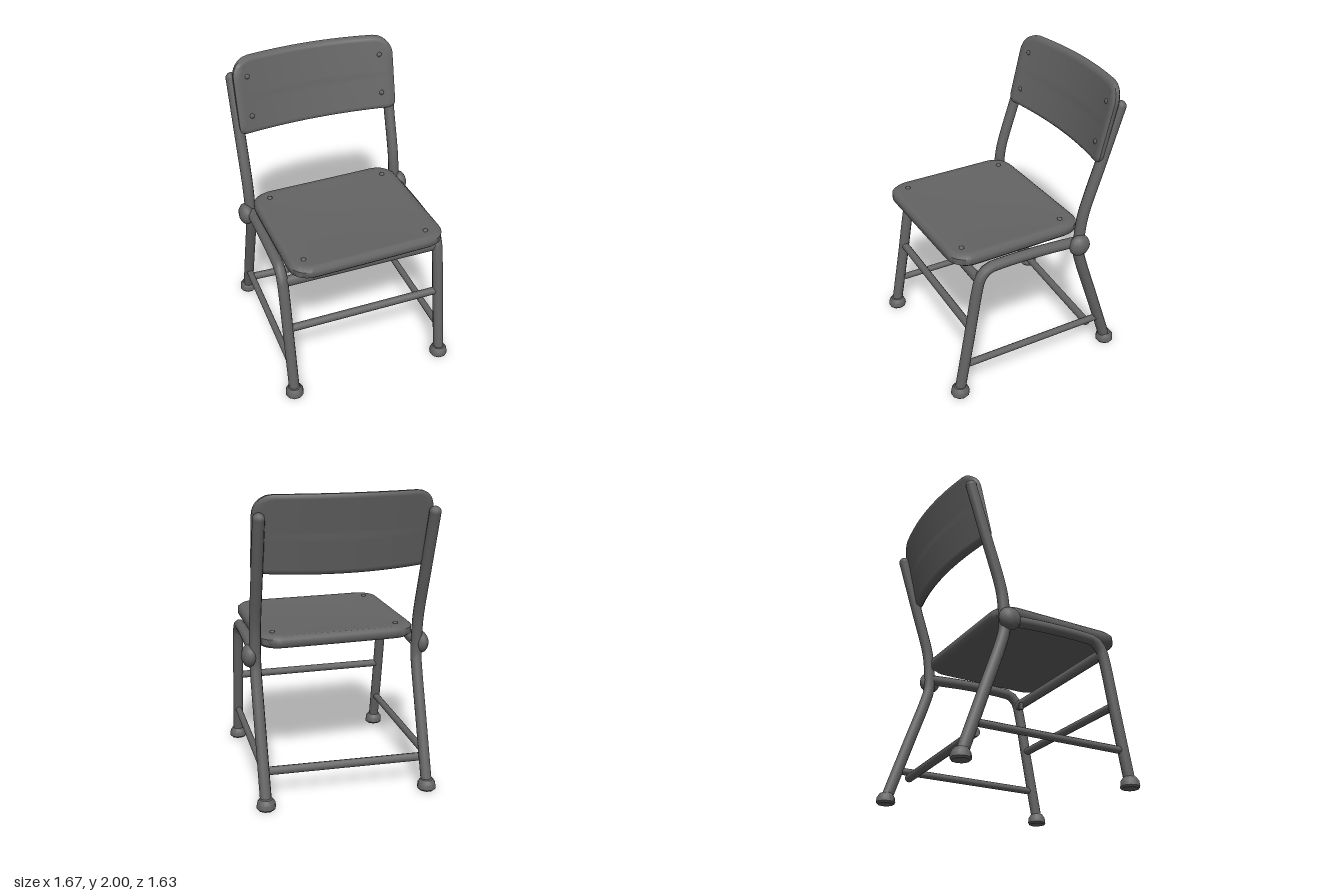
import * as THREE from 'three';
import { mergeVertices, toCreasedNormals } from 'three/addons/utils/BufferGeometryUtils.js';

const V = (x, y, z) => new THREE.Vector3(x, y, z);

// Chair is built facing local +x, with its sides at +z and -z, then turned.
export function createModel() {
  const grey = new THREE.MeshStandardMaterial({ color: 0x646464 });
  grey.name = 'dark grey';
  const root = new THREE.Group();
  root.name = 'chair';
  const chair = new THREE.Group();
  chair.name = 'turnedChair';
  chair.rotation.y = THREE.MathUtils.degToRad(-27);
  root.add(chair);

  function add(name, geometry, pos = V(0, 0, 0)) {
    const mesh = new THREE.Mesh(geometry, grey);
    mesh.name = name;
    mesh.position.copy(pos);
    chair.add(mesh);
    return mesh;
  }

  // Bent round tube through a few points
  function tube(name, points, radius) {
    const curve = new THREE.CatmullRomCurve3(points, false, 'centripetal');
    return add(name, new THREE.TubeGeometry(curve, 36, radius, 10));
  }

  // Straight bar between two points
  function bar(name, a, b, radius) {
    const d = b.clone().sub(a);
    const mesh = add(name, new THREE.CylinderGeometry(radius, radius, d.length(), 10),
      a.clone().add(b).multiplyScalar(0.5));
    mesh.quaternion.setFromUnitVectors(V(0, 1, 0), d.normalize());
    return mesh;
  }

  // Rounded board in the xy plane with softened rims; bend() shapes each vertex
  function board(w, h, t, rTop, rBottom, rim, bend) {
    const box = new THREE.BoxGeometry(w, h, t, 28, 28, 3);
    const p = box.attributes.position;
    for (let i = 0; i < p.count; i++) {
      let x = p.getX(i), y = p.getY(i), z = p.getZ(i);
      const r = y > 0 ? rTop : rBottom;
      const dx = Math.abs(x) - (w / 2 - r), dy = Math.abs(y) - (h / 2 - r);
      if (dx > 0 && dy > 0) {
        const k = Math.max(dx, dy) / Math.hypot(dx, dy);
        x = Math.sign(x) * (w / 2 - r + dx * k);
        y = Math.sign(y) * (h / 2 - r + dy * k);
      }
      if (Math.abs(z) > t * 0.4) {
        x *= 1 - 2 * rim / w;
        y *= 1 - 2 * rim / h;
      } else {
        z = Math.sign(z) * (t / 2 - rim);
      }
      const v = bend(x, y, z);
      p.setXYZ(i, v.x, v.y, v.z);
    }
    box.deleteAttribute('normal');
    box.deleteAttribute('uv');
    return toCreasedNormals(mergeVertices(box), 0.9);
  }

  // Seat, slightly dished
  const dish = (x, z) => 0.018 * Math.max(0, 1 - (x / 0.47) ** 2) * Math.max(0, 1 - (z / 0.53) ** 2);
  const seat = add('seat', board(0.94, 1.06, 0.082, 0.13, 0.13, 0.02,
    (x, y, z) => V(x, z - dish(x, y) + 0.01 * x, -y)), V(0.125, 1.035, 0));
  seat.rotation.y = 0.025;

  // Backrest, leaning back and hollowed towards the sitter
  const hollow = (y, z) => -0.24 * y - 0.075 * (1 - (z / 0.57) ** 2);
  const restPos = V(-0.465, 1.75, -0.015);
  add('backrest', board(1.13, 0.49, 0.055, 0.12, 0.045, 0.014,
    (x, y, z) => V(z + hollow(y, x),
      y + 0.005 - (y < 0 ? 0.015 * (1 - (x / 0.57) ** 2) : 0), -x)), restPos);

  const sideName = { '-1': 'left', 1: 'right' };
  for (const s of [-1, 1]) {
    const side = sideName[s], w = s * 0.547;

    // Rear leg running up into the back post
    tube(side + 'RearLegAndPost', [
      V(-0.585, 0.03, w), V(-0.45, 0.43, w), V(-0.325, 0.8, w), V(-0.307, 0.88, w),
      V(-0.318, 1.08, w), V(-0.335, 1.17, w), V(-0.44, 1.5, w), V(-0.555, 1.86, w)], 0.038);
    add(side + 'PostCap', new THREE.SphereGeometry(0.038, 10, 8), V(-0.555, 1.86, w));

    // Front leg bending back into the seat rail
    tube(side + 'FrontLegAndSeatRail', [
      V(0.587, 0.03, w), V(0.51, 0.45, w), V(0.44, 0.84, w), V(0.418, 0.91, w),
      V(0.37, 0.958, w), V(0.3, 0.968, w), V(0, 0.968, w), V(-0.29, 0.95, w)], 0.037);

    // Hinge boss
    const hinge = add(side + 'Hinge', new THREE.SphereGeometry(1, 12, 10), V(-0.29, 0.942, s * 0.583));
    hinge.scale.set(0.075, 0.075, 0.052);

    // Feet
    for (const u of [-0.585, 0.585]) {
      const profile = [[0, 0], [0.055, 0], [0.064, 0.012], [0.06, 0.045], [0.042, 0.072], [0, 0.078]];
      const foot = new THREE.LatheGeometry(profile.map(q => new THREE.Vector2(...q)), 10);
      add(side + (u > 0 ? 'FrontFoot' : 'RearFoot'), toCreasedNormals(foot, 0.7), V(u, 0, w));
    }

    // Side stretcher
    bar(side + 'SideStretcher', V(-0.52, 0.24, w), V(0.55, 0.24, w), 0.024);

    // Bolts in seat and backrest
    for (const e of [-1, 1]) {
      const sb = add('seatBolt', new THREE.SphereGeometry(0.018, 8, 6),
        V(0.125 + e * 0.36, 1.074 + e * 0.003, s * 0.42));
      sb.scale.y = 0.7;
      const y = e * 0.13, z = s * 0.47;
      const bb = add('backrestBolt', new THREE.SphereGeometry(0.018, 8, 6),
        V(restPos.x + 0.027 + hollow(y, z), 1.75 + y, restPos.z + z));
      bb.scale.x = 0.6;
    }
  }

  // Cross bars
  const rail = bar('frontSeatRail', V(0.425, 0.88, -0.54), V(0.425, 0.88, 0.54), 0.039);
  rail.scale.x = 0.75;
  bar('frontStretcher', V(0.495, 0.53, -0.54), V(0.495, 0.53, 0.54), 0.027);
  bar('rearStretcher', V(-0.44, 0.19, -0.52), V(-0.485, 0.19, 0.53), 0.028);

  // Small catch under the front rail
  add('catch', new THREE.BoxGeometry(0.03, 0.05, 0.02), V(0.39, 0.84, -0.43));

  return root;
}
